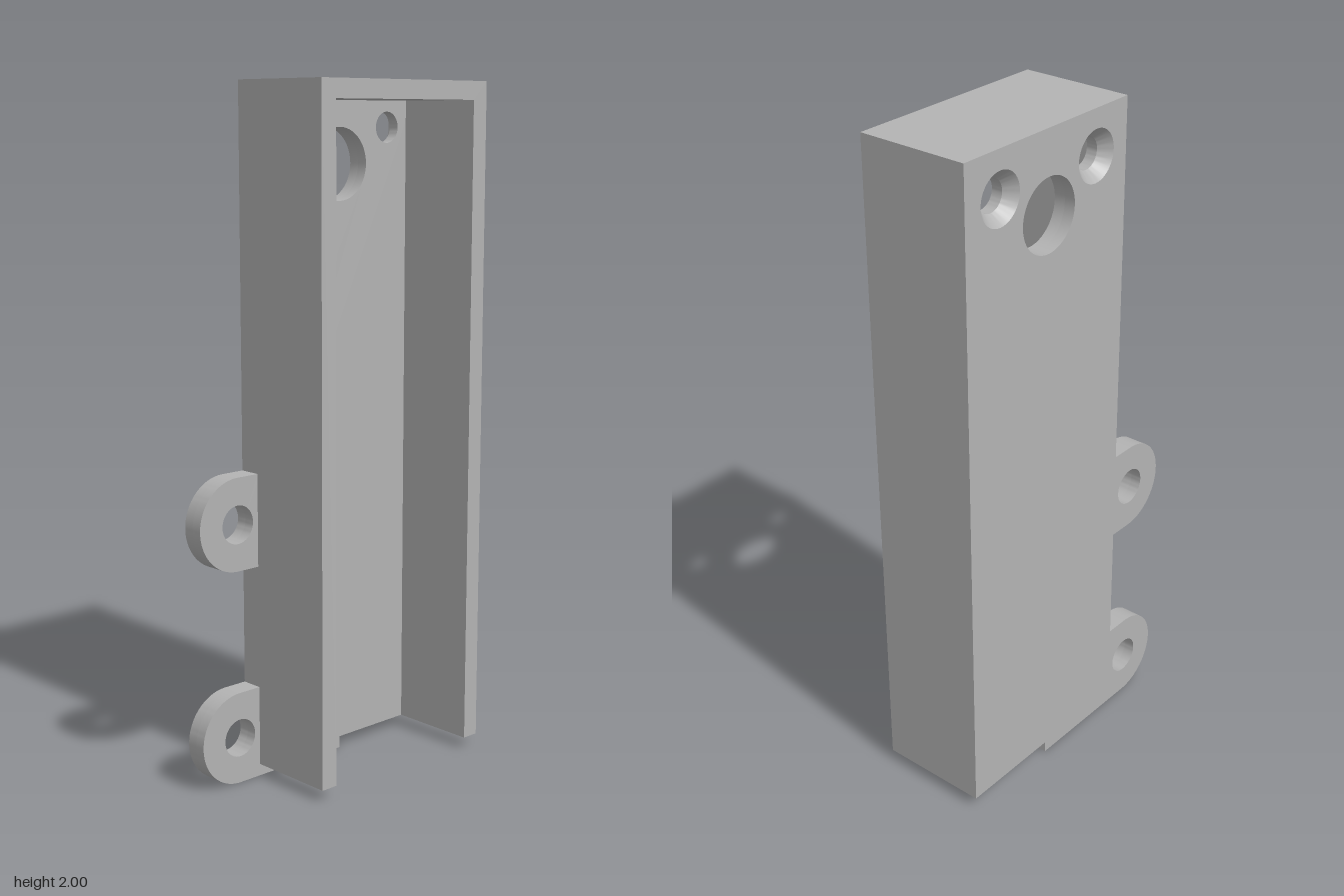
import * as THREE from 'three';
import { toCreasedNormals } from 'three/addons/utils/BufferGeometryUtils.js';

const LEFT = 0.425, RIGHT = -0.218, TOP = 2, BASE = 0.035;
const BACK = -0.168, SEAT = -0.135, FLOOR = -0.102, FRONT = 0.168;
const WALL = 0.053;
const LUG = { x: -0.292, r: 0.136, hole: 0.056, ys: [0.77, 0.136] };
const SCREWS = [[-0.09, 1.87], [0.293, 1.87]];
const SCREW_R = 0.045, SINK_R = 0.074;

function addHole(shape, x, y, r) {
  const hole = new THREE.Path();
  hole.absarc(x, y, r, 0, Math.PI * 2, true);
  shape.holes.push(hole);
}

// Back plate outline with the two hinge lugs and the bottom tongue
function plateShape(screwRadius) {
  const s = new THREE.Shape();
  s.moveTo(LEFT, BASE);
  s.lineTo(LEFT, TOP);
  s.lineTo(RIGHT, TOP);
  for (const y of LUG.ys) {
    s.lineTo(RIGHT, y + LUG.r);
    s.absarc(LUG.x, y, LUG.r, Math.PI / 2, Math.PI * 1.5, false);
    if (y > 0.5) s.lineTo(RIGHT, y - LUG.r);
  }
  s.lineTo(0.103, 0);
  s.lineTo(0.103, BASE);
  for (const y of LUG.ys) addHole(s, LUG.x, y, LUG.hole);
  addHole(s, 0.103, 1.767, 0.105);
  for (const [x, y] of SCREWS) addHole(s, x, y, screwRadius);
  return s;
}

function extrude(shape, z0, z1) {
  const g = new THREE.ExtrudeGeometry(shape, { depth: z1 - z0, bevelEnabled: false, curveSegments: 24 });
  return g.translate(0, 0, z0);
}

// Narrow the inner rim of each screw hole to form a countersink
function countersink(g) {
  const p = g.attributes.position;
  for (let i = 0; i < p.count; i++) {
    if (p.getZ(i) < SEAT - 0.001) continue;
    for (const [x, y] of SCREWS) {
      const dx = p.getX(i) - x, dy = p.getY(i) - y;
      if (Math.hypot(dx, dy) > SINK_R + 0.002) continue;
      const k = SCREW_R / SINK_R;
      p.setXY(i, x + dx * k, y + dy * k);
    }
  }
  return g;
}

export function createModel() {
  const group = new THREE.Group();
  group.name = 'channelBracket';
  const grey = new THREE.MeshStandardMaterial({ color: 0xb3b3b3 });
  grey.name = 'plain grey';

  const add = (name, geometry) => {
    const mesh = new THREE.Mesh(toCreasedNormals(geometry, 0.5), grey);
    mesh.name = name;
    group.add(mesh);
  };

  // Back plate in two layers: countersunk outside, straight holes inside
  add('backPlateOuter', countersink(extrude(plateShape(SINK_R), BACK, SEAT)));
  add('backPlateInner', extrude(plateShape(SCREW_R), SEAT, FLOOR));

  // Side and top walls, open at the bottom and front
  const rim = new THREE.Shape([
    [LEFT, BASE], [LEFT, TOP], [RIGHT, TOP], [RIGHT, BASE],
    [RIGHT + WALL, BASE], [RIGHT + WALL, TOP - WALL],
    [LEFT - WALL, TOP - WALL], [LEFT - WALL, BASE],
  ].map(([x, y]) => new THREE.Vector2(x, y)));
  add('channelWalls', extrude(rim, FLOOR, FRONT));

  return group;
}
